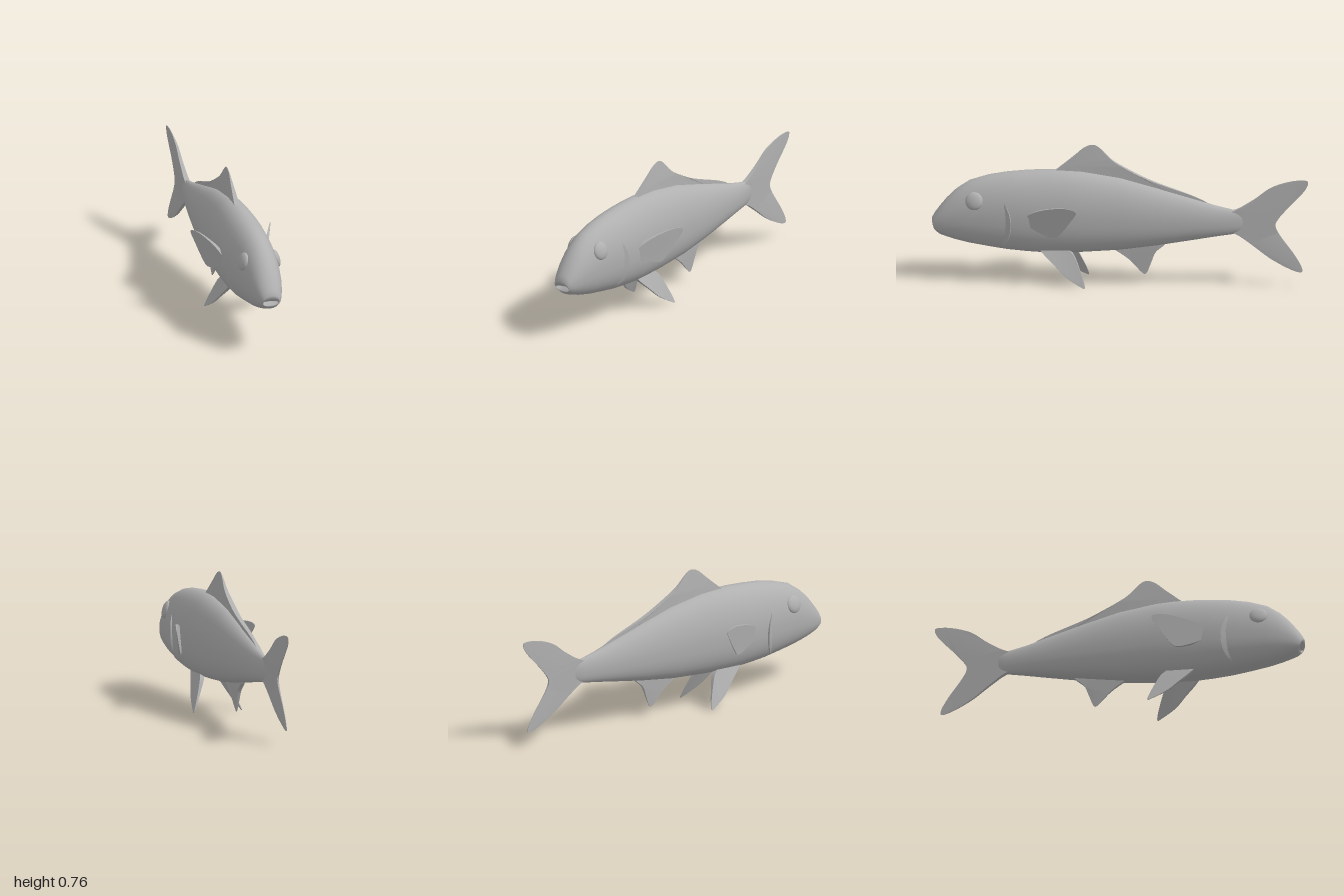
import * as THREE from 'three';
import { toCreasedNormals } from 'three/addons/utils/BufferGeometryUtils.js';

// Body stations from tail to mouth: z, top, bottom, half width, forward tilt
const STATIONS = [
  [-0.68, 0.38, 0.33, 0.002, 0], [-0.65, 0.405, 0.3, 0.013, 0], [-0.6, 0.418, 0.284, 0.026, 0],
  [-0.5, 0.44, 0.268, 0.043, 0], [-0.4, 0.47, 0.25, 0.059, 0], [-0.2, 0.528, 0.215, 0.087, 0],
  [0, 0.582, 0.186, 0.108, 0], [0.2, 0.612, 0.17, 0.121, 0], [0.3, 0.617, 0.166, 0.125, 0],
  [0.4, 0.615, 0.163, 0.127, 0], [0.5, 0.608, 0.168, 0.127, 0], [0.6, 0.597, 0.176, 0.122, 0],
  [0.7, 0.578, 0.19, 0.113, 0], [0.8, 0.545, 0.206, 0.102, 0], [0.87, 0.497, 0.222, 0.09, 0],
  [0.92, 0.447, 0.237, 0.078, 0], [0.955, 0.403, 0.249, 0.066, 0], [0.977, 0.362, 0.26, 0.055, 0.008],
  [0.988, 0.335, 0.268, 0.047, 0.011], [0.986, 0.315, 0.273, 0.044, 0.011],
  [0.962, 0.296, 0.286, 0.04, 0], [0.955, 0.292, 0.29, 0.001, 0],
];
const WAIST = 0.47;
const power = (t) => (t < 0 ? 2.4 : 2); // fuller belly than back

function bodyRing([z, top, bottom, half, tilt], sides = 36) {
  const mid = bottom + (top - bottom) * WAIST;
  return Array.from({ length: sides }, (_, j) => {
    const t = (j / sides) * Math.PI * 2, c = Math.cos(t), s = Math.sin(t), e = 2 / power(s);
    const h = s < 0 ? mid - bottom : top - mid;
    return [Math.sign(c) * half * Math.abs(c) ** e, mid + Math.sign(s) * h * Math.abs(s) ** e, z + tilt * s];
  });
}

// Half width of the body at a given height and length
function bodyX(y, z) {
  const i = STATIONS.findIndex((s) => s[0] > z);
  const a = STATIONS[i - 1], b = STATIONS[i], f = (z - a[0]) / (b[0] - a[0]);
  const [, top, bottom, half] = a.map((v, k) => v + (b[k] - v) * f);
  const mid = bottom + (top - bottom) * WAIST;
  const d = (y - mid) / (y < mid ? mid - bottom : top - mid), n = power(d);
  return half * Math.max(0, 1 - Math.abs(d) ** n) ** (1 / n);
}

// Skin closed rings of points into a surface
function loft(rings) {
  const n = rings[0].length, index = [];
  for (let i = 0; i < rings.length - 1; i++) {
    for (let j = 0; j < n; j++) {
      const a = i * n + j, b = i * n + ((j + 1) % n);
      index.push(a, b, a + n, b, b + n, a + n);
    }
  }
  const g = new THREE.BufferGeometry();
  g.setAttribute('position', new THREE.Float32BufferAttribute(rings.flat(2), 3));
  g.setIndex(index);
  g.computeVertexNormals();
  return g;
}

// Fin from a smooth free edge of [z, y] points; centre and thickness follow rules
function finGeometry(edge, centre, thickness) {
  const pts = edge.map(([z, y]) => new THREE.Vector2(z, y));
  const shape = new THREE.Shape([...new THREE.SplineCurve(pts).getPoints(edge.length * 5)]);
  const g = new THREE.ExtrudeGeometry(shape, { depth: 1, bevelEnabled: false });
  const p = g.attributes.position;
  for (let i = 0; i < p.count; i++) {
    const z = p.getX(i), y = p.getY(i), s = p.getZ(i) - 0.5;
    p.setXYZ(i, centre(z, y) - s * thickness(z, y), y, z);
  }
  return toCreasedNormals(g, 0.6);
}

export function createModel() {
  const fish = new THREE.Group();
  fish.name = 'fish';
  const grey = new THREE.MeshStandardMaterial({ color: 0xb0b0b0 });
  grey.name = 'grey';
  const add = (name, geometry) => {
    const mesh = new THREE.Mesh(geometry, grey);
    mesh.name = name;
    fish.add(mesh);
    return mesh;
  };
  const taper = (v, from, to, thick) =>
    THREE.MathUtils.lerp(thick, 0.003, THREE.MathUtils.clamp((v - from) / (to - from), 0, 1));
  const flat = () => 0;

  // Body with an open mouth pocket
  add('body', loft(STATIONS.map((s) => bodyRing(s))));

  // Fins on the centre line
  add('dorsalFin', finGeometry([
    [0.36, 0.6], [0.33, 0.622], [0.25, 0.69], [0.19, 0.742], [0.145, 0.757], [0.11, 0.742], [0.05, 0.682],
    [0, 0.648], [-0.1, 0.595], [-0.2, 0.553], [-0.4, 0.483], [-0.46, 0.44], [-0.2, 0.48], [0.1, 0.56],
  ], flat, (z, y) => taper(y, 0.59, 0.75, 0.034 * Math.min(1, (z + 0.5) / 0.5))));
  add('analFin', finGeometry([
    [0.06, 0.2], [0.02, 0.178], [-0.05, 0.128], [-0.115, 0.06], [-0.14, 0.056], [-0.165, 0.115],
    [-0.19, 0.175], [-0.24, 0.225], [-0.2, 0.26], [-0.05, 0.24],
  ], flat, (z, y) => taper(y, 0.2, 0.06, 0.022)));
  add('tailFin', finGeometry([
    [-0.58, 0.405], [-0.635, 0.427], [-0.72, 0.482], [-0.8, 0.543], [-0.9, 0.58], [-0.98, 0.588],
    [-0.998, 0.573], [-0.975, 0.525], [-0.89, 0.432], [-0.84, 0.372], [-0.825, 0.333], [-0.85, 0.28],
    [-0.92, 0.185], [-0.963, 0.11], [-0.96, 0.08], [-0.9, 0.097], [-0.8, 0.152], [-0.7, 0.228],
    [-0.63, 0.278], [-0.58, 0.3],
  ], flat, (z) => taper(z, -0.58, -0.9, 0.03)));

  // Paired parts
  for (const side of [1, -1]) {
    const prefix = side > 0 ? 'left' : 'right';
    add(prefix + 'PectoralFin', finGeometry([
      [0.49, 0.37], [0.475, 0.4], [0.4, 0.435], [0.3, 0.458], [0.235, 0.456], [0.217, 0.437], [0.25, 0.385],
      [0.3, 0.315], [0.335, 0.286], [0.39, 0.295], [0.47, 0.33], [0.49, 0.37],
    ], (z, y) => side * (0.115 + 0.37 * (0.48 - z) + 0.1 * (y - 0.38)),
    (z) => taper(z, 0.48, 0.22, 0.022)));
    add(prefix + 'PelvicFin', finGeometry([
      [0.42, 0.19], [0.39, 0.158], [0.34, 0.112], [0.28, 0.055], [0.2, 0.008], [0.177, 0.002], [0.185, 0.04],
      [0.215, 0.115], [0.24, 0.165], [0.27, 0.195],
    ], (z, y) => side * (0.068 + (0.165 - y) * 0.4), (z, y) => taper(y, 0.17, 0.01, 0.024)));

    // Gill cover edge: a raised crescent lying on the flank
    const line = new THREE.CatmullRomCurve3([
      [0, 0.2, 0.622], [0, 0.25, 0.588], [0, 0.32, 0.572], [0, 0.39, 0.577], [0, 0.46, 0.605],
    ].map((p) => new THREE.Vector3(...p)));
    const rings = line.getPoints(24).map(({ y, z }, i) => {
      const w = Math.sin((i / 24) * Math.PI) ** 0.6, x = bodyX(y, z);
      const ring = [
        [side * (bodyX(y, z + 0.03 * w) - 0.001), y, z + 0.03 * w],
        [side * (x + 0.01 * w), y, z],
        [side * (x - 0.006), y, z - 0.004 * w],
      ];
      return side > 0 ? ring : ring.reverse();
    });
    add(prefix + 'GillCover', toCreasedNormals(loft(rings), 0.6));

    // Bulging eye
    const eye = add(prefix + 'Eye', new THREE.SphereGeometry(0.048, 24, 16));
    eye.scale.set(0.42, 1, 1);
    eye.position.set(side * (bodyX(0.457, 0.768) - 0.003), 0.457, 0.768);
    eye.rotation.set(0, -side * 0.15, side * 0.3);
  }
  return fish;
}
